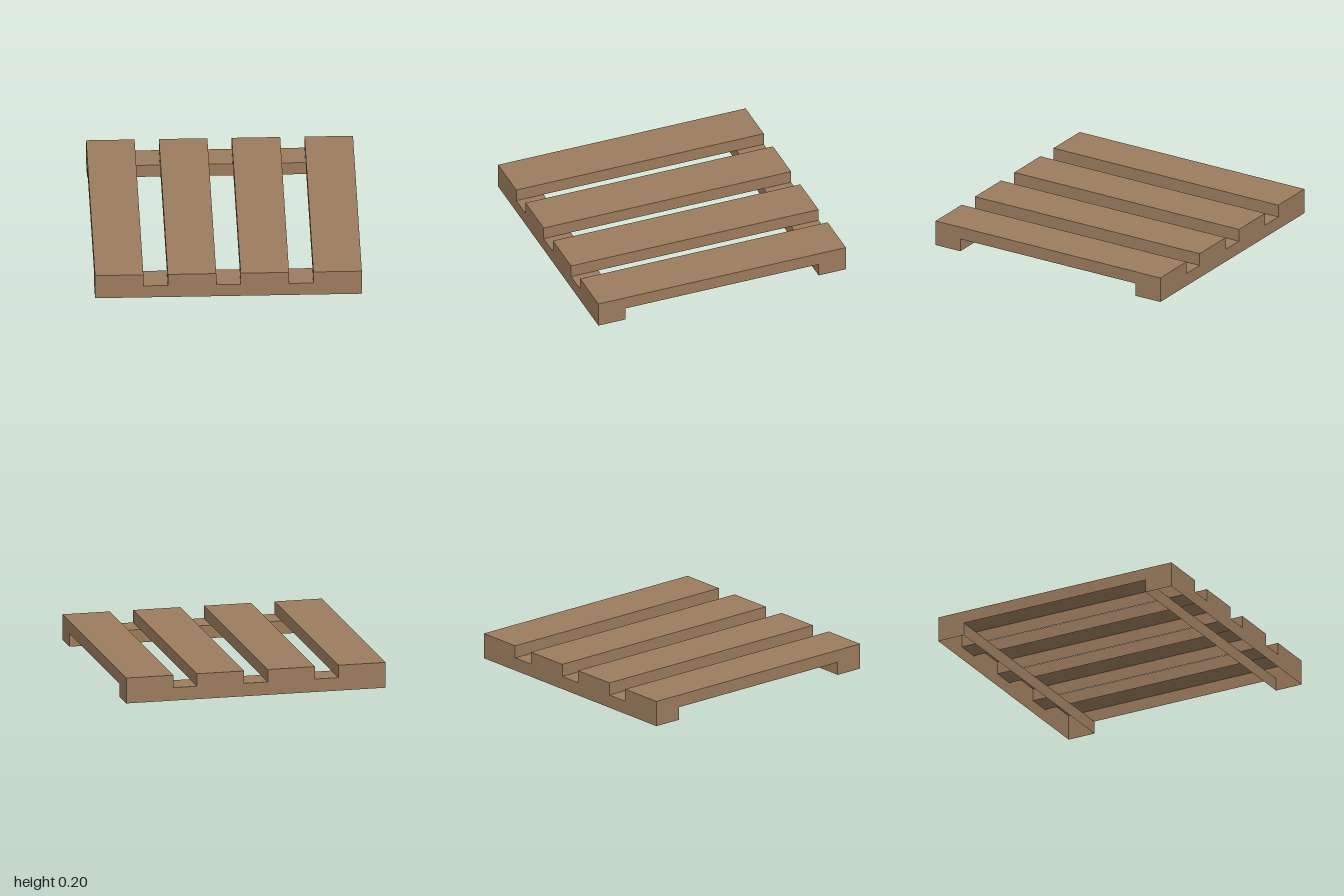
import * as THREE from 'three';

const TOP = 0.196, DECK = 0.1;          // heights of plank tops and of the gap floors
const PLANK = 0.363, PITCH = 0.5457;    // plank width and spacing
const RAIL = 0.22;                      // depth of the end rails

export function createModel() {
  const model = new THREE.Group();
  model.name = 'pallet';
  const wood = new THREE.MeshStandardMaterial({
    color: 0x9b7b5d, side: THREE.DoubleSide, flatShading: true,
  });

  function add(parent, name, geometry, x, y, z) {
    const mesh = new THREE.Mesh(geometry, wood);
    mesh.name = name;
    mesh.position.set(x, y, z);
    parent.add(mesh);
  }
  // Thin sheets: horizontal (facing up), and upright across x or z
  const flat = (w, d) => new THREE.PlaneGeometry(w, d).rotateX(-Math.PI / 2);
  const sideways = (d, h) => new THREE.PlaneGeometry(d, h).rotateY(Math.PI / 2);

  const centres = [-1.5, -0.5, 0.5, 1.5].map((i) => i * PITCH);

  // Planks: hollow channels, open underneath
  for (const x of centres) {
    const plank = new THREE.Group();
    plank.name = 'plank';
    plank.position.x = x;
    add(plank, 'plankTop', flat(PLANK, 2), 0, TOP, 0);
    for (const s of [-1, 1]) {
      add(plank, 'plankSide', sideways(2, TOP - DECK).scale(s, 1, s),
        s * PLANK / 2, (TOP + DECK) / 2, 0);
    }
    model.add(plank);
  }

  // Notched outline of the rail's outer wall
  const outline = new THREE.Shape();
  outline.moveTo(-1, 0);
  for (const x of centres) {
    const a = x - PLANK / 2, b = x + PLANK / 2;
    outline.lineTo(a, DECK);
    outline.lineTo(a, TOP);
    outline.lineTo(b, TOP);
    outline.lineTo(b, DECK);
  }
  outline.lineTo(1, 0);

  // End rails: hollow, open underneath, the back one turned about
  for (const s of [1, -1]) {
    const rail = new THREE.Group();
    rail.name = s > 0 ? 'frontRail' : 'backRail';
    if (s < 0) rail.rotation.y = Math.PI;
    add(rail, 'outerWall', new THREE.ShapeGeometry(outline), 0, 0, 1);
    add(rail, 'innerWall', new THREE.PlaneGeometry(2, DECK).rotateY(Math.PI), 0, DECK / 2, 1 - RAIL);
    for (const e of [-1, 1]) {
      add(rail, 'railEnd', sideways(RAIL, DECK).scale(e, 1, e), e, DECK / 2, 1 - RAIL / 2);
    }
    for (const i of [-1, 0, 1]) {
      add(rail, 'gapFloor', flat(PITCH - PLANK, RAIL), i * PITCH, DECK, 1 - RAIL / 2);
    }
    model.add(rail);
  }
  return model;
}
